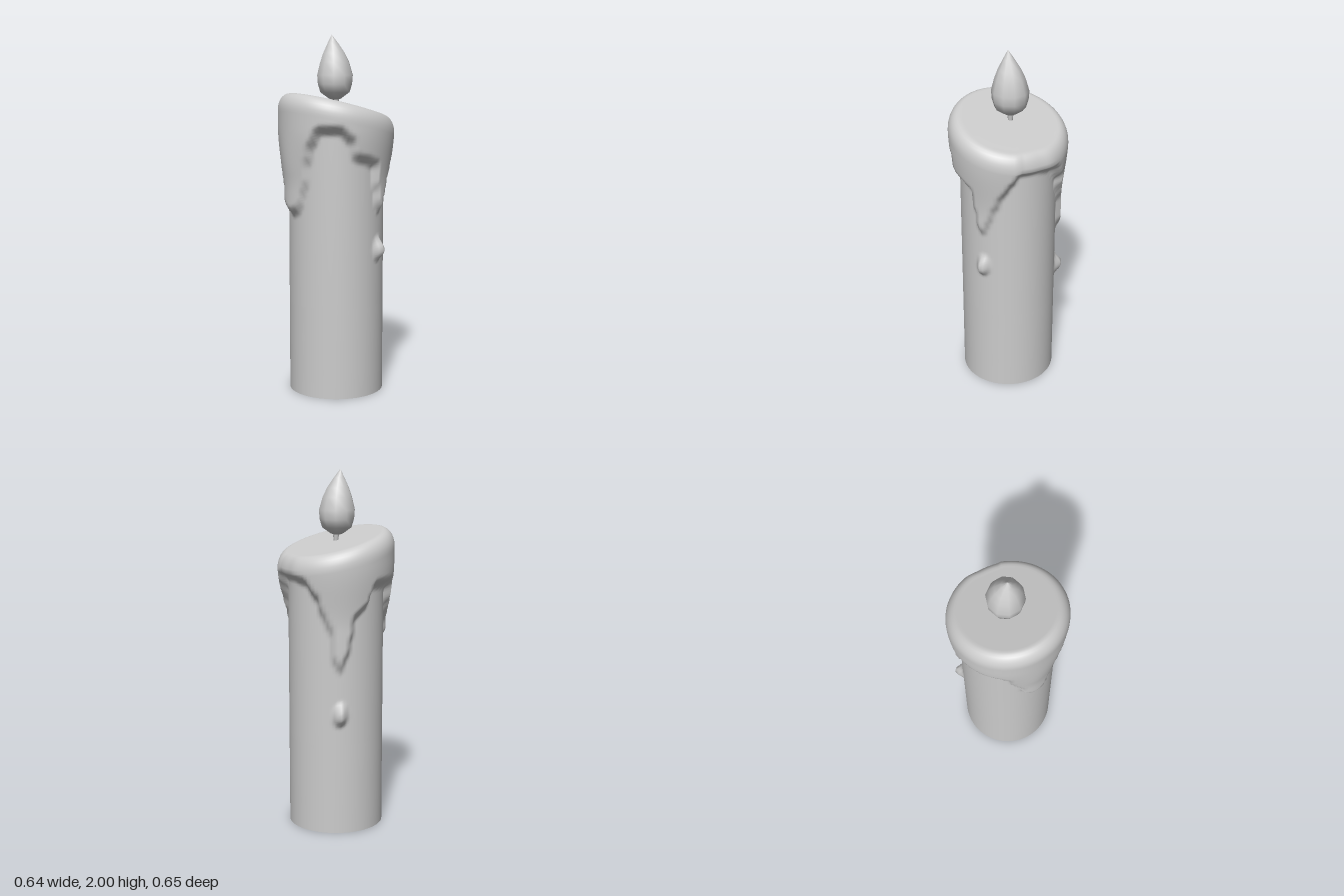
import * as THREE from 'three';

const BODY_R = 0.265, SEGMENTS = 96;
const smooth = THREE.MathUtils.smoothstep;
const topY = (x) => 1.615 - 0.27 * x; // slanted top plane

// Lower edge of the melted wax: [degrees from +x towards +z, height]
const EDGE = [
  [0, 1.43], [20, 1.43], [28, 1.37], [38, 1.3], [48, 1.2], [56, 1.1], [62, 1.04], [69, 1.08],
  [74, 1.3], [90, 1.33], [100, 1.34], [106, 1.44], [118, 1.49], [140, 1.49], [150, 1.4],
  [160, 1.15], [168, 1.05], [180, 1.03], [190, 1.05], [197, 1.18], [204, 1.22], [210, 1.36],
  [220, 1.39], [258, 1.39], [268, 1.27], [280, 1.23], [289, 1.02], [297, 0.93], [303, 0.97],
  [308, 1.15], [316, 1.22], [324, 1.33], [338, 1.41], [360, 1.43],
];

// Loose wax drops: angle, height, thickness
const DROPS = [[63, 0.82, 0.045], [297, 0.67, 0.045]];

function edgeHeight(deg) {
  const i = Math.max(1, EDGE.findIndex((e) => e[0] >= deg));
  const [a0, y0] = EDGE[i - 1], [a1, y1] = EDGE[i];
  return THREE.MathUtils.lerp(y0, y1, smooth(deg, a0, a1));
}

// Candle radius at an angle and height, with wax coat and drops
function radiusAt(deg, y) {
  const e = edgeHeight(deg);
  const side = Math.exp(-(((deg - 180) / 20) ** 2)) * 0.015;
  const coat = 0.03 + 0.03 * smooth(y, 1.15, 1.5) + side * (1 - smooth(y, 1.25, 1.5));
  let r = BODY_R + coat * smooth(y, e - 0.035, e + 0.04);
  for (const [a, h, t] of DROPS) {
    const u = ((deg - a) * Math.PI / 180 * BODY_R) / 0.04;
    const dy = y - h;
    const v = dy / (dy > 0 ? 0.085 : 0.065);
    r += t * (1 - smooth(Math.hypot(u, v), 0.15, 1.1));
  }
  return r;
}

// Wall, rounded rim and slanted lid as one skin of rings
function candleGeometry() {
  const position = [], index = [];
  const rings = [];
  for (let i = 0; i <= 3; i++) rings.push({ wall: 0.5 * i / 3 });
  for (let i = 1; i <= 75; i++) rings.push({ wall: 0.5, t: i / 75 });
  for (let i = 1; i <= 7; i++) rings.push({ rim: i / 7 * Math.PI / 2 });
  for (const s of [0.95, 0.85, 0.5, 0.001]) rings.push({ lid: s });

  rings.forEach((ring) => {
    for (let k = 0; k < SEGMENTS; k++) {
      const deg = k * 360 / SEGMENTS, a = deg * Math.PI / 180;
      const c = Math.cos(a), s = Math.sin(a);
      const shoulder = topY(0.28 * c) - 0.09;
      let r, y;
      if (ring.wall !== undefined) {
        y = ring.t ? THREE.MathUtils.lerp(0.5, shoulder, ring.t) : ring.wall;
        r = radiusAt(deg, y);
      } else {
        const rTop = radiusAt(deg, shoulder), inset = 0.062;
        if (ring.rim) {
          r = rTop - inset * (1 - Math.cos(ring.rim));
          const lift = topY((rTop - inset) * c) - shoulder;
          y = shoulder + lift * Math.sin(ring.rim);
        } else {
          r = (rTop - inset) * ring.lid;
          y = topY(r * c);
        }
      }
      position.push(r * c, y, r * s);
    }
  });
  for (let j = 0; j < rings.length - 1; j++) {
    for (let k = 0; k < SEGMENTS; k++) {
      const n = (k + 1) % SEGMENTS;
      const a = j * SEGMENTS + k, b = j * SEGMENTS + n;
      index.push(a, a + SEGMENTS, b, b, a + SEGMENTS, b + SEGMENTS);
    }
  }
  const g = new THREE.BufferGeometry();
  g.setAttribute('position', new THREE.Float32BufferAttribute(position, 3));
  g.setIndex(index);
  g.computeVertexNormals();
  return g;
}

// Ten-sided teardrop whose tip leans slightly
function flameGeometry() {
  const profile = [
    [0.001, 1.64], [0.035, 1.65], [0.084, 1.685], [0.098, 1.73], [0.102, 1.78],
    [0.083, 1.85], [0.062, 1.9], [0.03, 1.955], [0.001, 2],
  ].map(([r, y]) => new THREE.Vector2(r, y));
  const g = new THREE.LatheGeometry(profile, 10);
  const p = g.attributes.position;
  for (let i = 0; i < p.count; i++) {
    const lean = Math.max(0, (p.getY(i) - 1.78) / 0.22) ** 2;
    p.setX(i, p.getX(i) - 0.022 * lean);
    p.setZ(i, p.getZ(i) - 0.012);
  }
  return g;
}

export function createModel() {
  const group = new THREE.Group();
  const material = new THREE.MeshStandardMaterial({ color: 0xcccccc, side: THREE.DoubleSide });
  const add = (name, geometry) => {
    const mesh = new THREE.Mesh(geometry, material);
    mesh.name = name;
    group.add(mesh);
    return mesh;
  };
  add('candleWax', candleGeometry());
  add('flame', flameGeometry());
  add('wick', new THREE.CylinderGeometry(0.02, 0.012, 0.07, 8)).position.set(0.005, 1.635, -0.01);
  return group;
}
